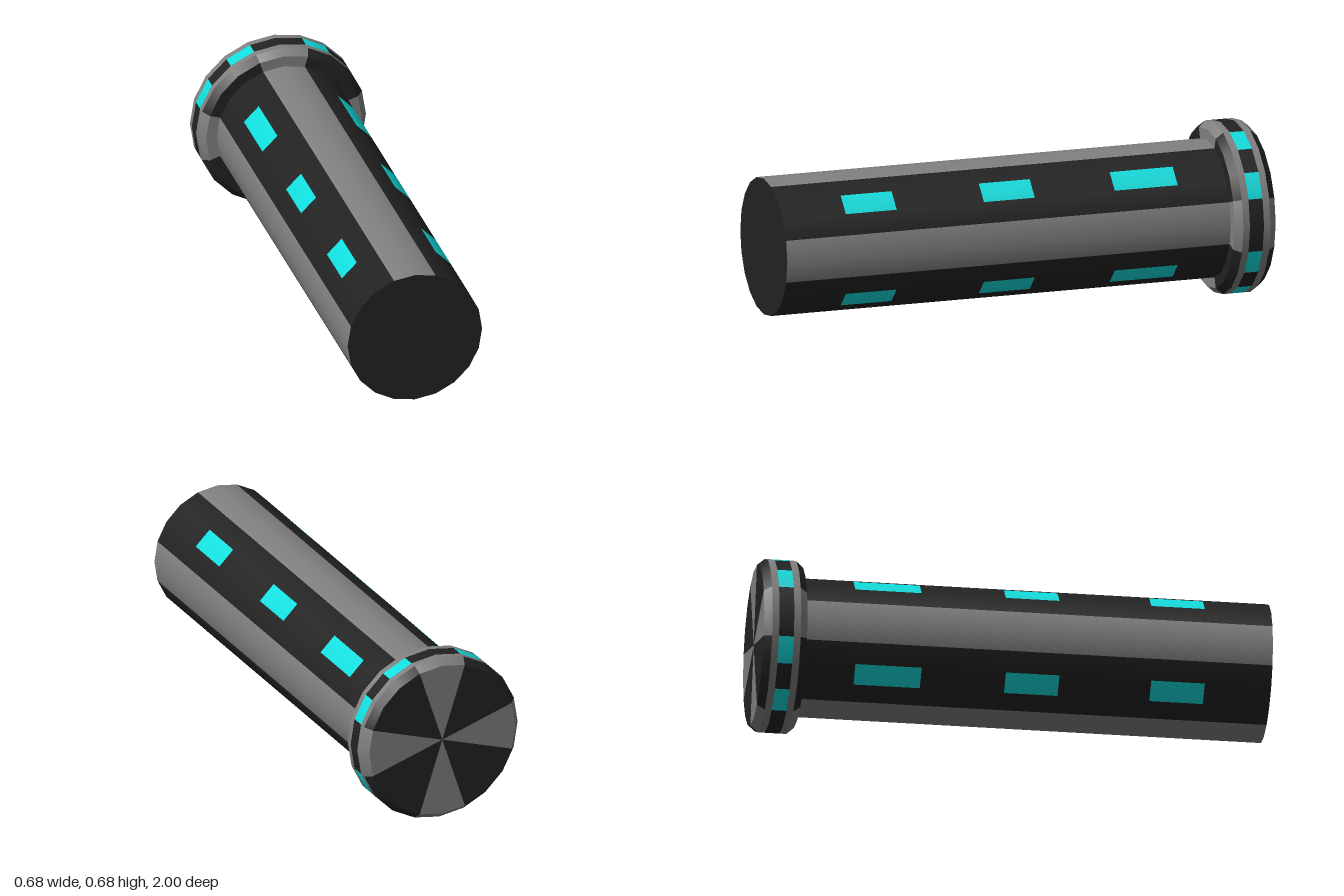
import * as THREE from 'three';
import { mergeGeometries } from 'three/addons/utils/BufferGeometryUtils.js';

const STEP = Math.PI / 10; // twenty sides
const CENTER_Y = 0.34;
const BODY_R = 0.272, RIM_R = 0.34, BEVEL_R = 0.315;

const dark = new THREE.MeshStandardMaterial({ color: 0x222222 });
const grey = new THREE.MeshStandardMaterial({ color: 0x808080 });
const cyan = new THREE.MeshStandardMaterial({ color: 0x11dddd });

// One panel: a straight profile from (r0, z0) to (r1, z1) swept over some sides,
// repeated in all four quadrants
function panel([r0, z0], [r1, z1], side, count) {
  const points = [new THREE.Vector2(r0, z0), new THREE.Vector2(r1, z1)];
  const parts = [];
  for (let q = 0; q < 4; q++) {
    const g = new THREE.LatheGeometry(points, count, (side + q * 5) * STEP, count * STEP);
    parts.push(g.rotateX(Math.PI / 2));
  }
  return mergeGeometries(parts);
}

export function createModel() {
  const model = new THREE.Group();
  const add = (name, material, panels) => {
    const mesh = new THREE.Mesh(mergeGeometries(panels), material);
    mesh.name = name;
    mesh.position.y = CENTER_Y;
    model.add(mesh);
  };

  // Barrel: grey stripes, dark quarters and windows flush in the middle sides
  const back = [BODY_R, -0.83], front = [BODY_R, 1];
  const windows = [[-0.63, -0.37], [-0.04, 0.17], [0.53, 0.74]];
  const quarters = [panel(back, front, 1, 1), panel(back, front, 3, 1)];
  const lights = [];
  let z = -0.83;
  for (const [a, b] of windows) {
    quarters.push(panel([BODY_R, z], [BODY_R, a], 2, 1));
    lights.push(panel([BODY_R, a], [BODY_R, b], 2, 1));
    z = b;
  }
  quarters.push(panel([BODY_R, z], front, 2, 1));
  add('barrelStripes', grey, [panel(back, front, -1, 2)]);
  add('barrelQuarters', dark, quarters);
  add('barrelLights', cyan, lights);
  add('frontCap', dark, [panel(front, [0, 1], 0, 5)]);

  // End cap: back disc, two bevels and front shoulder in alternating wedges
  const sections = [
    [[0, -1], [BEVEL_R, -1]],
    [[BEVEL_R, -1], [RIM_R, -0.97]],
    [[RIM_R, -0.858], [BEVEL_R, -0.83]],
    [[BEVEL_R, -0.83], [BODY_R, -0.83]],
  ];
  add('endCapGreyWedges', grey, sections.map(([a, b]) => panel(a, b, -1, 2)));
  add('endCapDarkWedges', dark, sections.map(([a, b]) => panel(a, b, 1, 3)));

  // Rim: grey edge rings around a band of lights
  add('rimRings', grey, [
    panel([RIM_R, -0.97], [RIM_R, -0.943], 0, 5),
    panel([RIM_R, -0.885], [RIM_R, -0.858], 0, 5),
  ]);
  const band = (side) => panel([RIM_R, -0.943], [RIM_R, -0.885], side, 1);
  add('rimBand', dark, [0, 2, 4].map(band));
  add('rimLights', cyan, [1, 3].map(band));

  return model;
}
